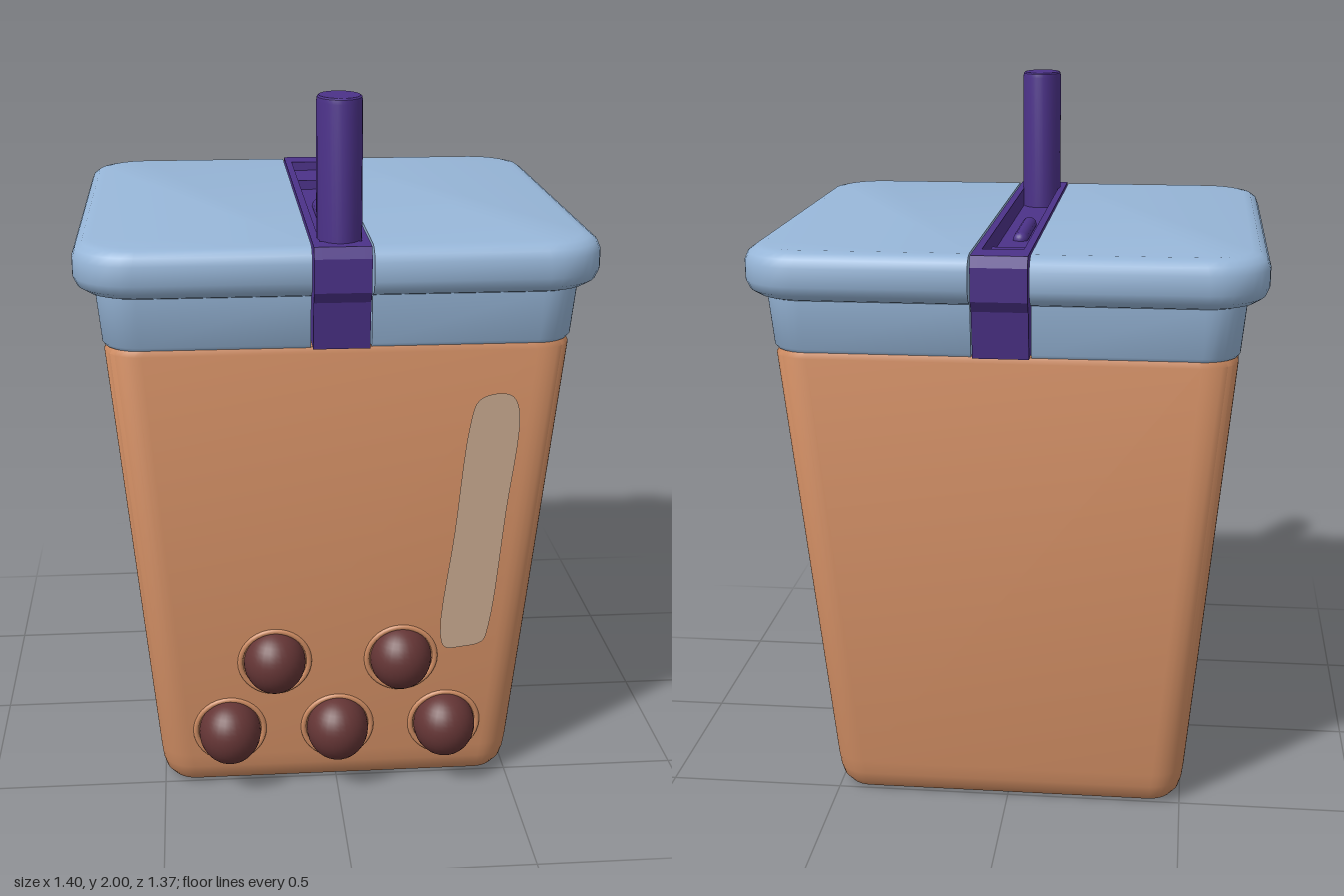
import * as THREE from 'three';
import { toCreasedNormals } from 'three/addons/utils/BufferGeometryUtils.js';

const mat = (name, color, side = THREE.FrontSide) => {
  const m = new THREE.MeshStandardMaterial({ color, side });
  m.name = name;
  return m;
};

// Rounded rectangle outline; with x0 set, only the part right of x0 is kept
function ring(hx, hz, r, x0) {
  const pts = [];
  const corners = x0 === undefined ? [[1, -1], [1, 1], [-1, 1], [-1, -1]] : [[1, -1], [1, 1]];
  if (x0 !== undefined) pts.push([x0, -hz]);
  corners.forEach(([sx, sz], k) => {
    for (let i = 0; i <= 8; i++) {
      const a = (k - 1 + i / 8) * Math.PI / 2;
      pts.push([sx * (hx - r) + r * Math.cos(a), sz * (hz - r) + r * Math.sin(a)]);
    }
  });
  if (x0 !== undefined) pts.push([x0, hz]);
  return pts;
}

// Closed solid through sections [y, halfX, halfZ, cornerRadius]
function loft(sections, x0) {
  const pos = [], idx = [];
  let n = 0;
  for (const [y, hx, hz, r] of sections) {
    const pts = ring(hx, hz, r, x0);
    n = pts.length;
    pts.forEach(([x, z]) => pos.push(x, y, z));
  }
  const top = (sections.length - 1) * n;
  for (let s = 0; s < top; s += n) {
    for (let j = 0; j < n; j++) {
      const a = s + j, b = s + (j + 1) % n;
      idx.push(a, a + n, b, b, a + n, b + n);
    }
  }
  for (let j = 1; j < n - 1; j++) {
    idx.push(top, top + j + 1, top + j, 0, j, j + 1);
  }
  const g = new THREE.BufferGeometry();
  g.setAttribute('position', new THREE.Float32BufferAttribute(pos, 3));
  g.setIndex(idx);
  return toCreasedNormals(g, 0.7);
}

// Half width of the tapered cup at height y
const faceX = y => 0.51 + (y - 0.1) * 0.092;
const faceZ = y => 0.53 + (y - 0.1) * 0.078;

// Thin painted patch lying on a sloping face
function patch(points, face) {
  const curve = new THREE.CatmullRomCurve3(points.map(([x, y]) => new THREE.Vector3(x, y, 0)), true);
  const shape = new THREE.Shape(curve.getPoints(60).slice(0, -1).map(p => new THREE.Vector2(p.x, p.y)));
  const g = new THREE.ShapeGeometry(shape);
  const p = g.attributes.position;
  for (let i = 0; i < p.count; i++) p.setZ(i, face(p.getY(i)) + 0.005);
  g.computeVertexNormals();
  return g;
}

// Strap cross-section over the lid, extruded across x
function strap(width, x, channel) {
  const half = [[0.636, 1.35], [0.655, 1.48], [0.675, 1.51], [0.677, 1.6], [0.665, 1.63]];
  const pts = [...half];
  if (channel) pts.push([0.6, 1.63], [0.6, 1.575], [-0.57, 1.575], [-0.57, 1.63]);
  half.slice().reverse().forEach(([z, y]) => pts.push([-z, y]));
  const shape = new THREE.Shape(pts.map(p => new THREE.Vector2(...p)));
  const g = new THREE.ExtrudeGeometry(shape, { depth: width, bevelEnabled: false });
  return g.rotateY(-Math.PI / 2).translate(x + width / 2, 0, 0);
}

export function createModel() {
  const model = new THREE.Group();
  model.name = 'bubbleTeaCup';
  const tea = mat('milk tea', 0xd08d63);
  const blue = mat('lid blue', 0x97b6d8);
  const purple = mat('straw purple', 0x4c3289);
  const brown = mat('pearl brown', 0x643535);
  const shine = mat('highlight', 0xcdad93, THREE.DoubleSide);

  const add = (name, geo, material, parent = model) => {
    const m = new THREE.Mesh(geo, material);
    m.name = name;
    parent.add(m);
    return m;
  };

  // Tapered cup with a rounded foot
  add('cup', loft([
    [0, 0.455, 0.475, 0.06],
    [0.008, 0.478, 0.498, 0.07],
    [0.03, 0.495, 0.515, 0.08],
    [0.06, 0.505, 0.525, 0.09],
    [0.1, faceX(0.1), faceZ(0.1), 0.09],
    [1.335, faceX(1.335), faceZ(1.335), 0.1],
    [1.352, 0.615, 0.62, 0.1],
  ]), tea);

  // Lid halves either side of the strap
  const lid = loft([
    [1.35, 0.622, 0.62, 0.1],
    [1.36, 0.628, 0.626, 0.1],
    [1.495, 0.642, 0.638, 0.11],
    [1.5, 0.665, 0.652, 0.13],
    [1.515, 0.688, 0.675, 0.15],
    [1.54, 0.699, 0.686, 0.16],
    [1.59, 0.699, 0.686, 0.16],
    [1.612, 0.69, 0.677, 0.155],
    [1.625, 0.672, 0.659, 0.14],
    [1.63, 0.65, 0.637, 0.12],
  ], 0.08);
  add('leftLidHalf', lid, blue);
  add('rightLidHalf', lid, blue).rotation.y = Math.PI;

  // Strap with a sunken channel and its fittings
  const band = new THREE.Group();
  band.name = 'strap';
  model.add(band);
  add('strapChannel', strap(0.11, 0, true), purple, band);
  for (const s of [-1, 1]) add('strapRail', strap(0.02, s * 0.065, false), purple, band);
  const tab = add('channelTab', new THREE.BoxGeometry(0.1, 0.03, 0.18), purple, band);
  tab.position.set(0, 1.588, -0.48);
  const ridge = add('channelRidge', new THREE.CapsuleGeometry(0.022, 0.26, 6, 12), purple, band);
  ridge.rotation.x = Math.PI / 2;
  ridge.position.set(0, 1.577, 0.005);

  // Oval straw with a softened rim
  const profile = [[0, 1.56], [1, 1.56], [1, 1.985], [0.97, 1.996], [0.9, 2], [0, 2]];
  const straw = new THREE.LatheGeometry(profile.map(p => new THREE.Vector2(...p)), 32);
  straw.scale(0.06, 1, 0.083);
  add('straw', toCreasedNormals(straw, 0.6), purple).position.z = 0.548;

  // Pearls, each in a shallow rim on the front
  for (const [x, y] of [[-0.18, 0.405], [0.18, 0.405], [-0.31, 0.185], [0, 0.185], [0.31, 0.185]]) {
    const pearl = add('pearl', new THREE.SphereGeometry(0.092, 28, 20), brown);
    pearl.scale.set(0.96, 1.03, 1);
    pearl.position.set(x, y, 0.545);
    const rim = add('pearlRim', new THREE.TorusGeometry(0.098, 0.008, 8, 36), tea);
    rim.position.set(x, y, faceZ(y) - 0.001);
    rim.rotation.x = 0.078;
  }

  // Highlights on the front and left faces
  add('frontHighlight', patch([
    [0.37, 1.19], [0.41, 1.21], [0.46, 1.205], [0.483, 1.16], [0.46, 0.85], [0.427, 0.5],
    [0.41, 0.45], [0.35, 0.435], [0.305, 0.435], [0.29, 0.48], [0.32, 0.8], [0.35, 1.12],
  ], faceZ), shine);
  add('sideHighlight', patch([
    [-0.245, 1.11], [-0.22, 1.165], [-0.14, 1.155], [-0.06, 1.16], [0, 1.11], [0.06, 1.1],
    [0.11, 1.16], [0.17, 1.175], [0.2, 1.13], [0.197, 1.05], [0.15, 0.965], [0.08, 0.95],
    [0, 0.91], [-0.04, 0.82], [-0.1, 0.735], [-0.14, 0.72], [-0.16, 0.78], [-0.17, 0.88], [-0.225, 0.98],
  ], faceX), shine).rotation.y = Math.PI / 2;

  return model;
}
